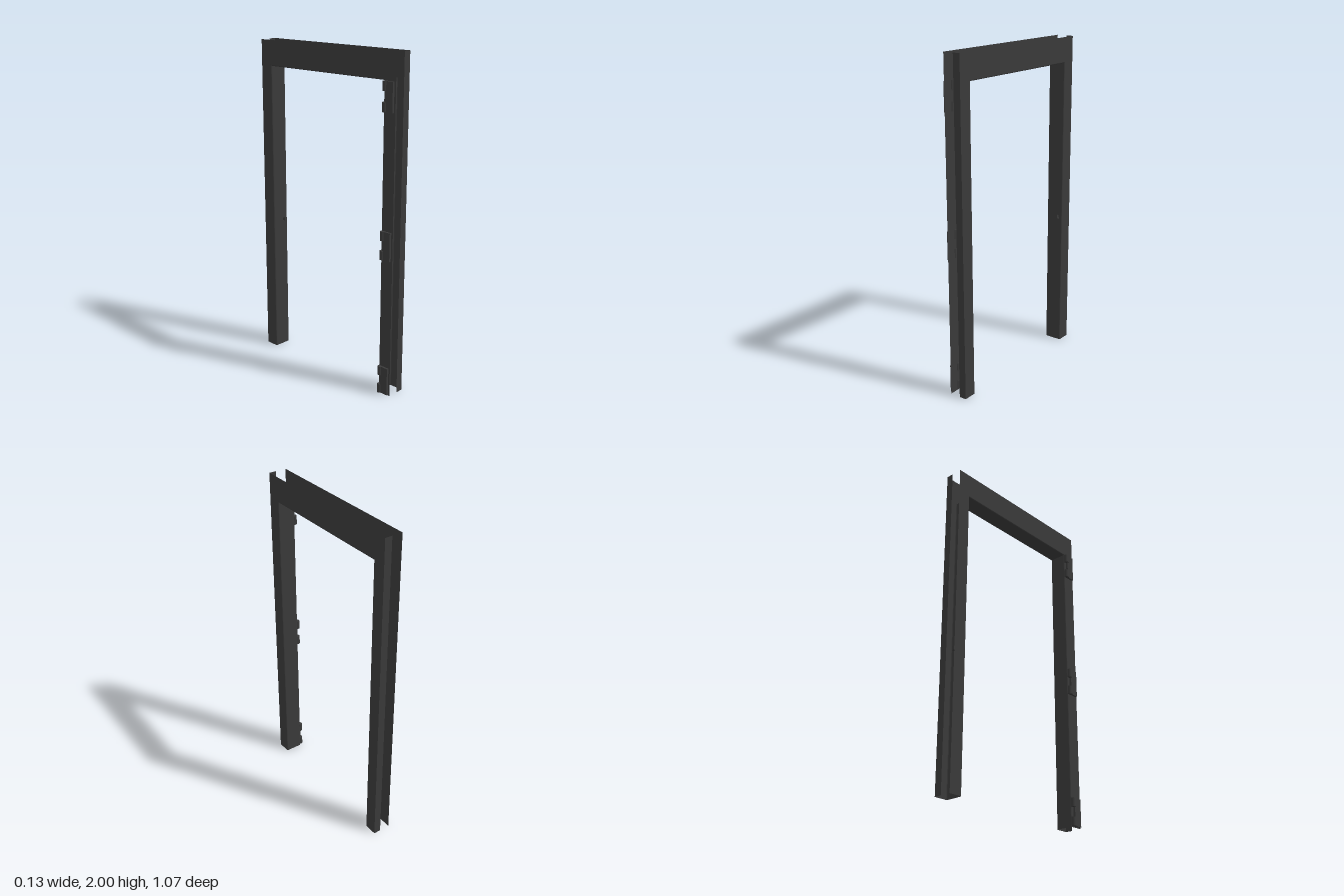
import * as THREE from 'three';

const W = 0.45, H = 1.845;          // half width and height of the opening
const X0 = -0.045, X1 = 0.065;      // the two faces of the frame
const R = 0.007;                    // bend radius of the sheet
const FACE = 0.085, HEAD = 0.155;   // face widths of jambs and header

const steel = new THREE.MeshStandardMaterial({ color: 0x3a3a3a, side: THREE.DoubleSide });

// Folded sheet section: [x, offset outward on jambs, offset upward on header]
function section() {
  const pts = [[X0, FACE, HEAD]];
  const n = 4;
  for (let i = 0; i <= n; i++) {
    const a = (i / n) * Math.PI / 2;
    const d = R * (1 - Math.sin(a));
    pts.push([X0 + R * (1 - Math.cos(a)), d, d]);
  }
  for (let i = n; i >= 0; i--) {
    const a = (i / n) * Math.PI / 2;
    const d = R * (1 - Math.sin(a));
    pts.push([X1 - R * (1 - Math.cos(a)), d, d]);
  }
  pts.push([X1, FACE, HEAD]);
  return pts;
}

// Mitred path of one section point: up one jamb, across, down the other
const path = ([x, dz, dy]) => [
  [x, 0, -W - dz], [x, H + dy, -W - dz], [x, H + dy, W + dz], [x, 0, W + dz],
];

function panel(k, skipWeb) {
  const pts = section();
  const pos = [];
  for (let i = 0; i < pts.length - 1; i++) {
    if (skipWeb && pts[i + 1][0] - pts[i][0] > 0.05) continue;
    const a = path(pts[i]), b = path(pts[i + 1]);
    pos.push(...a[k], ...b[k], ...b[k + 1], ...a[k], ...b[k + 1], ...a[k + 1]);
  }
  const g = new THREE.BufferGeometry();
  g.setAttribute('position', new THREE.Float32BufferAttribute(pos, 3));
  g.computeVertexNormals();
  return g;
}

export function createModel() {
  const model = new THREE.Group();
  model.name = 'doorFrame';
  const add = (parent, name, geo, x = 0, y = 0, z = 0) => {
    const m = new THREE.Mesh(geo, steel);
    m.name = name;
    m.position.set(x, y, z);
    parent.add(m);
    return m;
  };

  // Folded channels, open to the outside
  ['latchJamb', 'header', 'hingeJamb'].forEach((name, k) => add(model, name, panel(k, k === 0)));

  // Return lips on the outer edges of the jambs
  for (const s of [-1, 1]) {
    add(model, 'returnLip', new THREE.PlaneGeometry(0.045, 2), X1 - 0.0225, 1, s * (W + FACE));
  }

  // Web of the latch jamb, with the strike opening
  const sx = 0.037, sy = 0.86, sw = 0.015, sh = 0.024, sd = 0.018;
  const rect = (C, x0, x1, y0, y1) => {
    const p = new C();
    p.moveTo(x0, y0).lineTo(x1, y0).lineTo(x1, y1).lineTo(x0, y1).closePath();
    return p;
  };
  const web = rect(THREE.Shape, X0 + R, X1 - R, 0, H);
  web.holes.push(rect(THREE.Path, sx - sw / 2, sx + sw / 2, sy - sh / 2, sy + sh / 2));
  add(model, 'latchJambWeb', new THREE.ShapeGeometry(web), 0, 0, -W);

  // Strike pocket behind the opening
  const pocket = new THREE.Group();
  pocket.name = 'strikePocket';
  pocket.position.set(sx, sy, -W - sd / 2);
  for (const s of [-1, 1]) {
    add(pocket, 'pocketSide', new THREE.PlaneGeometry(sd, sh), s * sw / 2).rotation.y = Math.PI / 2;
    add(pocket, 'pocketEnd', new THREE.PlaneGeometry(sw, sd), 0, s * sh / 2).rotation.x = Math.PI / 2;
  }
  add(pocket, 'pocketBack', new THREE.PlaneGeometry(sw, sh), 0, 0, -sd / 2);
  model.add(pocket);

  // Hinges: a leaf with two knuckles each
  for (const y of [0.09, 0.92, 1.76]) {
    const hinge = new THREE.Group();
    hinge.name = 'hinge';
    hinge.position.set(-0.052, y, 0.465);
    add(hinge, 'hingeLeaf', new THREE.BoxGeometry(0.013, 0.168, 0.053), 0, 0, 0.0325);
    for (const s of [-1, 1]) {
      add(hinge, 'hingeKnuckle', new THREE.CylinderGeometry(0.0145, 0.0145, 0.054, 20), 0, s * 0.057, 0);
    }
    model.add(hinge);
  }
  return model;
}
